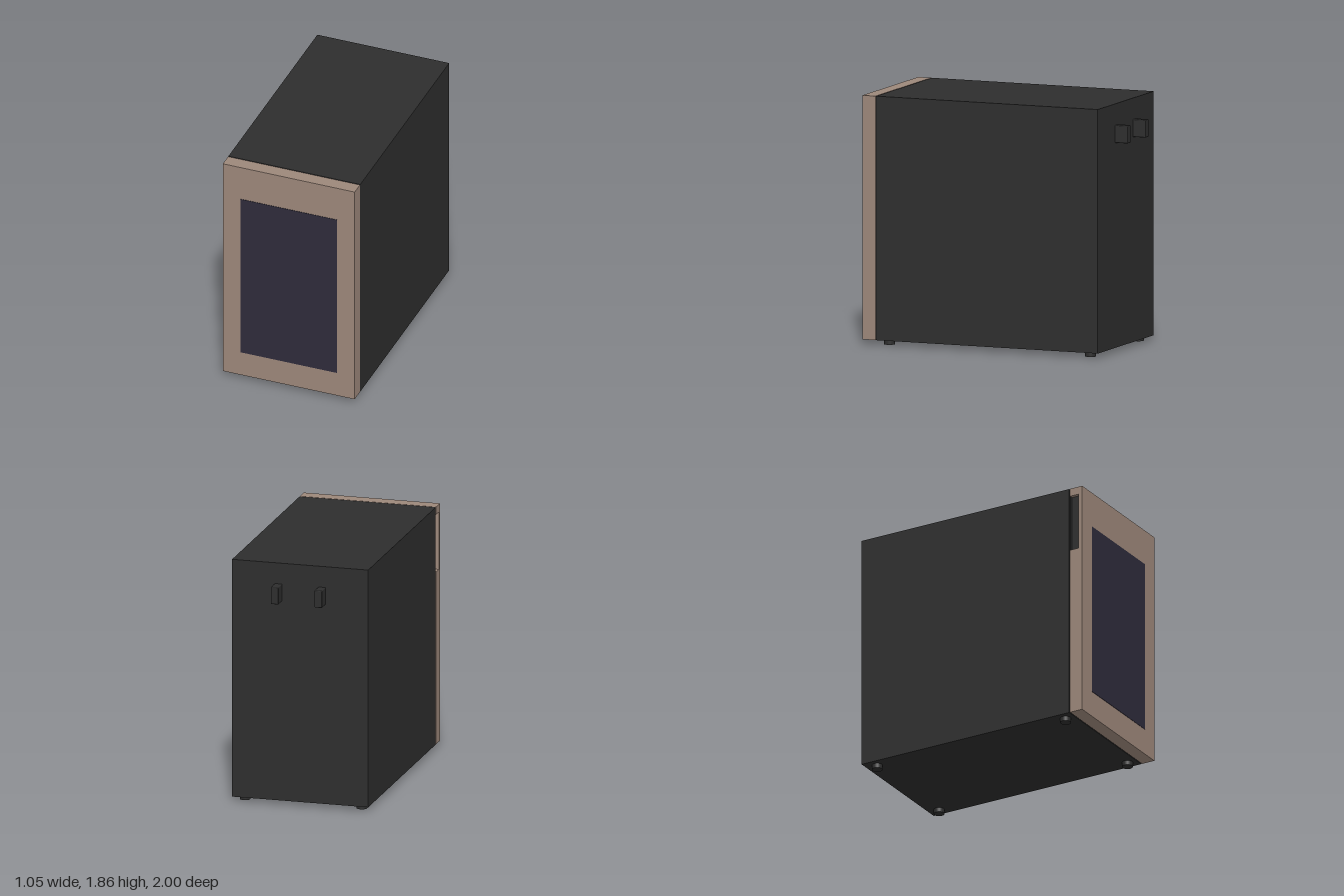
import * as THREE from 'three';
import { RoundedBoxGeometry } from 'three/addons/geometries/RoundedBoxGeometry.js';

const material = (name, color) => {
  const m = new THREE.MeshStandardMaterial({ color });
  m.name = name;
  return m;
};

export function createModel() {
  const model = new THREE.Group();
  model.name = 'cooler';

  const black = material('black', 0x2d2d2d);
  const bronze = material('bronze', 0x9c877a);
  const glass = material('dark glass', 0x2e2b3b);

  const add = (name, geometry, mat, x, y, z) => {
    const mesh = new THREE.Mesh(geometry, mat);
    mesh.name = name;
    mesh.position.set(x, y, z);
    model.add(mesh);
    return mesh;
  };
  // Box given by its minimum and maximum corners
  const box = (name, mat, [x0, y0, z0], [x1, y1, z1]) =>
    add(name, new THREE.BoxGeometry(x1 - x0, y1 - y0, z1 - z0), mat,
      (x0 + x1) / 2, (y0 + y1) / 2, (z0 + z1) / 2);

  const W = 0.525, bottom = 0.035, top = 1.86;

  // Cabinet and the slightly inset seal behind the door
  box('cabinet', black, [-W, bottom, -0.9], [W, top, 0.885]);
  box('doorSeal', black, [-W + 0.01, bottom + 0.01, 0.885], [W - 0.01, top - 0.01, 0.892]);

  // Door: full front layer, and a back layer notched for the finger grip
  const gripBottom = 1.36, gripTop = 1.8, gripDepth = 0.035;
  box('doorFront', bronze, [-W, bottom, 0.967], [W, top, 0.997]);
  const outline = new THREE.Shape([
    [-W, bottom], [W, bottom], [W, top], [-W, top],
    [-W, gripTop], [-W + gripDepth, gripTop],
    [-W + gripDepth, gripBottom], [-W, gripBottom],
  ].map(([x, y]) => new THREE.Vector2(x, y)));
  add('doorBack', new THREE.ExtrudeGeometry(outline, { depth: 0.075, bevelEnabled: false }),
    bronze, 0, 0, 0.892);

  // Dark lining on the inner wall of the grip
  box('gripLining', black,
    [-W + gripDepth - 0.006, gripBottom, 0.892], [-W + gripDepth, gripTop, 0.967]);

  // Window pane
  box('window', glass, [-0.385, 0.235, 0.995], [0.385, 1.583, 1.0]);

  // Feet and rear wall spacers
  for (const side of [-1, 1]) {
    for (const end of [-1, 1]) {
      add('foot', new THREE.CylinderGeometry(0.04, 0.04, bottom, 24), black,
        side * 0.45, bottom / 2, end * 0.81);
    }
    add('rearSpacer', new RoundedBoxGeometry(0.058, 0.132, 0.11, 2, 0.006), black,
      side * 0.168, 1.634, -0.945);
  }

  return model;
}
